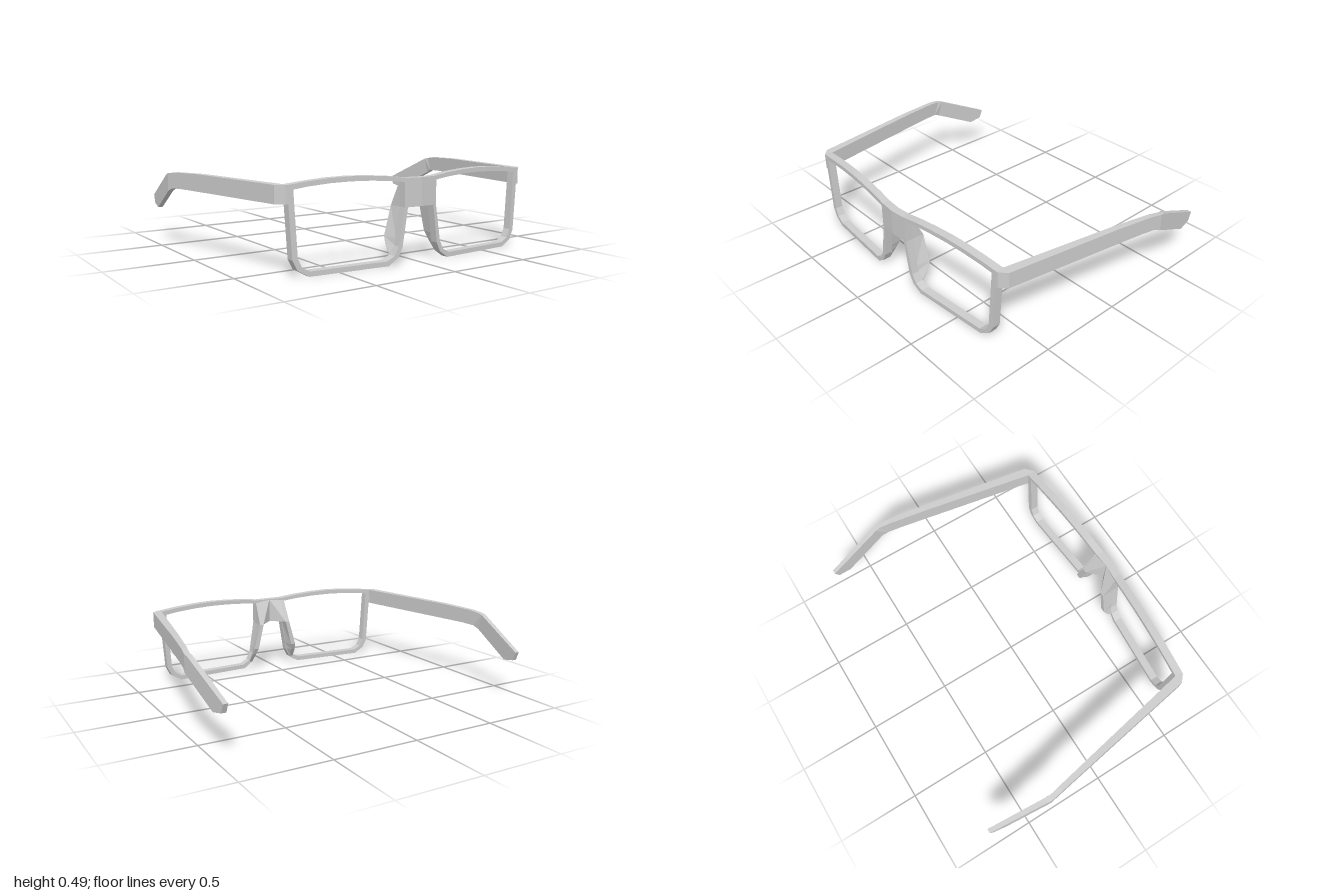
import * as THREE from 'three';
import { ConvexGeometry } from 'three/addons/geometries/ConvexGeometry.js';

const material = new THREE.MeshStandardMaterial({ color: 0xcccccc, flatShading: true });
const SLOPE = 0.077; // how far the front sweeps back per unit of width
const frontBack = (x) => 0.683 - SLOPE * x; // rear face of the front frame

// Closed skin over four-cornered rings; ring normals follow the direction of travel.
function loft(rings) {
  const pos = [];
  const quad = (a, b, c, d) => pos.push(...a, ...b, ...c, ...a, ...c, ...d);
  for (let i = 0; i + 1 < rings.length; i++) {
    for (let j = 0; j < 4; j++) {
      const k = (j + 1) % 4;
      quad(rings[i][j], rings[i][k], rings[i + 1][k], rings[i + 1][j]);
    }
  }
  quad(...[...rings[0]].reverse());
  quad(...rings[rings.length - 1]);
  const g = new THREE.BufferGeometry();
  g.setAttribute('position', new THREE.Float32BufferAttribute(pos, 3));
  g.computeVertexNormals();
  return g;
}

// Reflects across x = 0 and turns the triangles round again.
function mirrored(geometry) {
  const g = geometry.index ? geometry.toNonIndexed() : geometry.clone();
  const p = g.attributes.position;
  const src = p.array.slice();
  for (let i = 0; i < p.count; i++) {
    const j = i - (i % 3) + (2 - (i % 3));
    p.setXYZ(i, -src[j * 3], src[j * 3 + 1], src[j * 3 + 2]);
  }
  g.computeVertexNormals();
  return g;
}

const points = (list) => list.map(([x, y]) => new THREE.Vector2(x, y));

// Half of the front: rim, arched brow and half the bridge, with the lens opening.
function rimGeometry() {
  const shape = new THREE.Shape(points([
    [0, 0.31], [0.088, 0.31], [0.12, 0.096], [0.147, 0.043], [0.206, 0.004],
    [0.675, 0.004], [0.74, 0.043], [0.767, 0.096], [0.785, 0.375], [0.79, 0.47],
    [0.68, 0.482], [0.56, 0.491], [0.44, 0.494], [0.32, 0.49], [0.2, 0.481],
    [0.09, 0.467], [0, 0.466],
  ]));
  shape.holes.push(new THREE.Path(points([
    [0.108, 0.31], [0.108, 0.446], [0.2, 0.457], [0.32, 0.465], [0.44, 0.468],
    [0.56, 0.465], [0.68, 0.456], [0.758, 0.446], [0.737, 0.103], [0.714, 0.055],
    [0.67, 0.031], [0.217, 0.031], [0.17, 0.055], [0.144, 0.105],
  ])));
  const g = new THREE.ExtrudeGeometry(shape, { depth: 0.047, bevelEnabled: false });
  const p = g.attributes.position;
  for (let i = 0; i < p.count; i++) p.setZ(i, p.getZ(i) + frontBack(p.getX(i)));
  g.computeVertexNormals();
  return g;
}

// Chamfered corner block joining front and temple.
function cornerGeometry() {
  const plan = [[0.782, 0.67], [0.8, 0.667], [0.84, 0.629], [0.84, 0.618], [0.787, 0.618]];
  return new ConvexGeometry(plan.flatMap(([x, z]) =>
    [0.375, 0.47].map((y) => new THREE.Vector3(x, y, z))));
}

// Temple arm: bows outward, then drops and turns in behind the ear.
function templeGeometry() {
  const follow = (z, a, b, c) => z > -0.36
    ? THREE.MathUtils.mapLinear(z, 0.625, -0.36, a, b)
    : THREE.MathUtils.mapLinear(z, -0.36, -0.74, b, c);
  const outer = (z) => follow(z, 0.84, 1.0, 0.952);
  const inner = (z) => follow(z, 0.787, 0.969, 0.925);
  // top z, top y, bottom z, bottom y
  const stations = [
    [0.625, 0.47, 0.625, 0.375], [-0.05, 0.47, -0.05, 0.373], [-0.29, 0.462, -0.23, 0.372],
    [-0.36, 0.452, -0.32, 0.367], [-0.39, 0.445, -0.36, 0.349],
    [-0.7, 0.302, -0.634, 0.217], [-0.737, 0.285, -0.715, 0.233],
  ];
  return loft(stations.map(([zt, yt, zb, yb]) => [
    [outer(zt), yt, zt], [outer(zb), yb, zb], [inner(zb), yb, zb], [inner(zt), yt, zt],
  ]));
}

// Nose pad: a ridge swelling back from the inner side of the rim.
function padGeometry() {
  // y, front left/right, back left/right, back z
  const stations = [
    [0.45, 0.09, 0.107, 0.09, 0.107, 0.673], [0.31, 0.09, 0.107, 0.085, 0.112, 0.605],
    [0.146, 0.114, 0.136, 0.125, 0.157, 0.605], [0.105, 0.121, 0.142, 0.135, 0.164, 0.626],
    [0.045, 0.148, 0.168, 0.148, 0.168, 0.668],
  ];
  return loft(stations.map(([y, fl, fr, bl, br, z]) => [
    [bl, y, z], [br, y, z], [fr, y, frontBack(fr) + 0.01], [fl, y, frontBack(fl) + 0.01],
  ]));
}

// Faceted wedge between the bridge centre and the top of the pad.
function wedgeGeometry() {
  return new ConvexGeometry([
    [0, 0.463, 0.684], [0, 0.312, 0.684], [0.085, 0.312, 0.605],
    [0.1, 0.45, 0.674], [0.1, 0.312, 0.68],
  ].map((v) => new THREE.Vector3(...v)));
}

export function createModel() {
  const model = new THREE.Group();
  model.name = 'spectacles';
  const parts = {
    Rim: rimGeometry(), Corner: cornerGeometry(), Temple: templeGeometry(),
    NosePad: padGeometry(), BridgeWedge: wedgeGeometry(),
  };
  for (const [name, geometry] of Object.entries(parts)) {
    const left = new THREE.Mesh(geometry, material);
    left.name = 'left' + name;
    const right = new THREE.Mesh(mirrored(geometry), material);
    right.name = 'right' + name;
    model.add(left, right);
  }
  return model;
}
